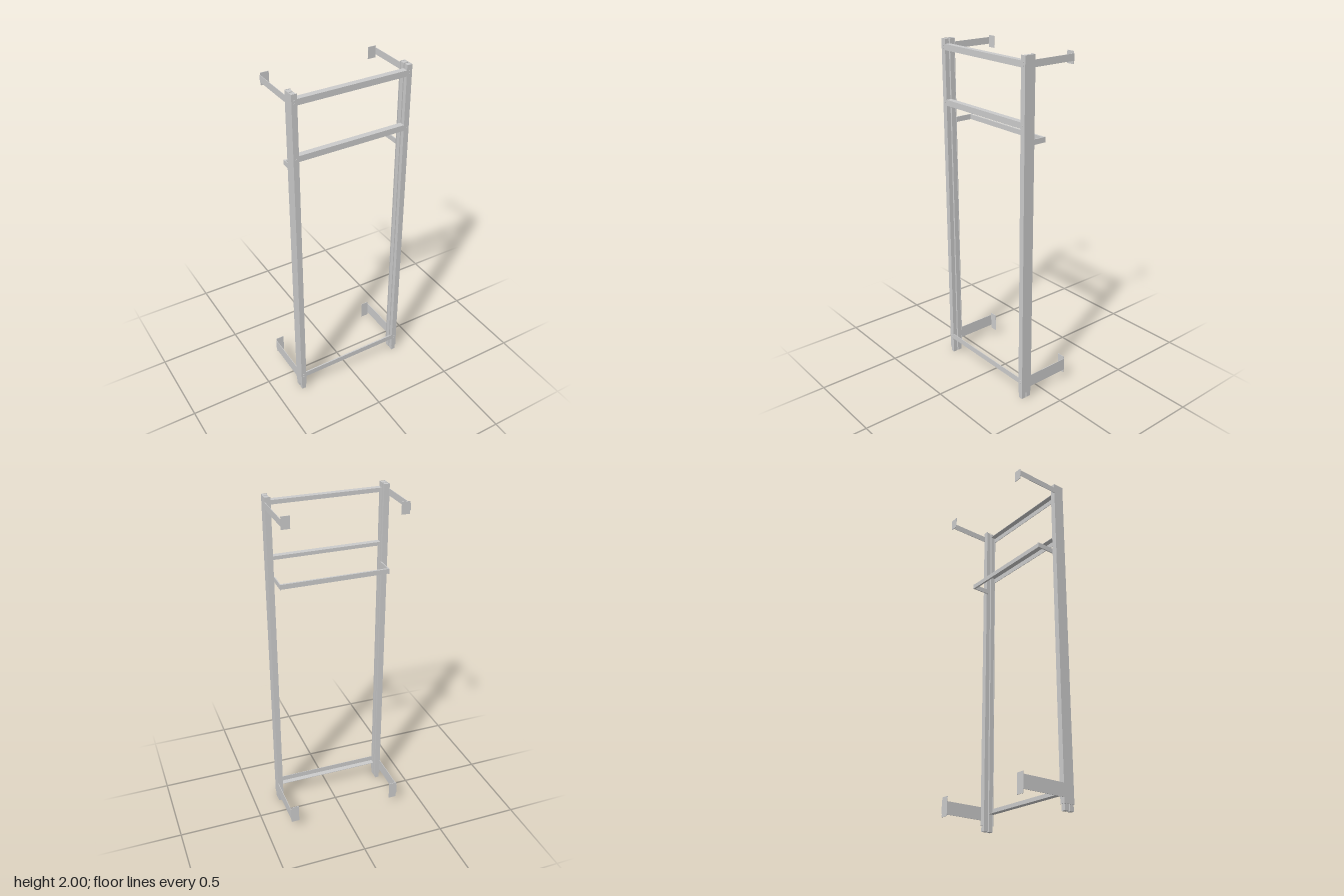
import * as THREE from 'three';

const steel = new THREE.MeshStandardMaterial({ color: 0xcccccc, flatShading: true });

// Box given by its min and max on each axis
function box(name, [x0, x1], [y0, y1], [z0, z1]) {
  const mesh = new THREE.Mesh(new THREE.BoxGeometry(Math.abs(x1 - x0), y1 - y0, z1 - z0), steel);
  mesh.position.set((x0 + x1) / 2, (y0 + y1) / 2, (z0 + z1) / 2);
  mesh.name = name;
  return mesh;
}

const T = 0.003; // sheet thickness
const OUT = 0.351, IN = 0.319; // outer and inner faces of the uprights
const BACK = 0.0975, FRONT = 0.165, WALL = -0.1715;

// Upright: outward-facing channel around two square posts, with wall brackets
function upright(side) {
  const g = new THREE.Group();
  g.name = side > 0 ? 'leftUpright' : 'rightUpright';
  const add = (name, x0, x1, y, z) => g.add(box(name, [side * x0, side * x1], y, z));

  add('channelWeb', OUT - T, OUT, [0.035, 2], [BACK, FRONT]);
  add('channelFrontFlange', IN, OUT - T, [0.035, 2], [FRONT - T, FRONT]);
  add('channelBackFlange', IN, OUT - T, [0.035, 2], [BACK, BACK + T]);
  add('backPost', 0.323, OUT - T, [0, 1.998], [BACK + T, 0.128]);
  add('frontPost', 0.323, OUT - T, [0, 1.998], [0.136, FRONT - T]);

  // wall brackets: arm range, then plate range
  const brackets = [
    ['upper', [1.935, 1.973], [1.917, 1.985]],
    ['lower', [0.065, 0.14], [0.045, 0.155]],
  ];
  for (const [label, arm, plate] of brackets) {
    add(label + 'WallArm', OUT - T, OUT, arm, [WALL, BACK]);
    add(label + 'WallPlate', 0.30, OUT - T, plate, [WALL, WALL + T]);
  }

  // hanger side arm
  add('hangerArm', 0.312, 0.318, [1.522, 1.552], [-0.012, 0.105]);

  // bolt heads on the front face
  for (const y of [0.105, 0.122, 1.642, 1.949, 1.966]) {
    const bolt = new THREE.Mesh(new THREE.CylinderGeometry(0.004, 0.004, 0.004, 12), steel);
    bolt.rotation.x = Math.PI / 2;
    bolt.position.set(side * 0.335, y, FRONT + 0.002);
    bolt.name = 'bolt';
    g.add(bolt);
  }
  return g;
}

// Angle-section rail with its flange at the top or the bottom edge
function angleRail(name, y0, y1, flangeOnTop) {
  const g = new THREE.Group();
  g.name = name;
  const x = [-IN, IN];
  const f = flangeOnTop ? [y1 - T, y1] : [y0, y0 + T];
  g.add(box('railFace', x, [y0, y1], [FRONT - T, FRONT]));
  g.add(box('railFlange', x, f, [0.131, FRONT - T]));
  return g;
}

export function createModel() {
  const model = new THREE.Group();
  model.name = 'wallRackFrame';
  for (const side of [1, -1]) model.add(upright(side));
  model.add(angleRail('topRail', 1.938, 1.972, true));
  model.add(angleRail('middleRail', 1.626, 1.66, true));
  model.add(angleRail('bottomRail', 0.1, 0.134, false));
  model.add(box('hangerBar', [-0.312, 0.312], [1.523, 1.551], [-0.009, 0.003]));
  return model;
}
